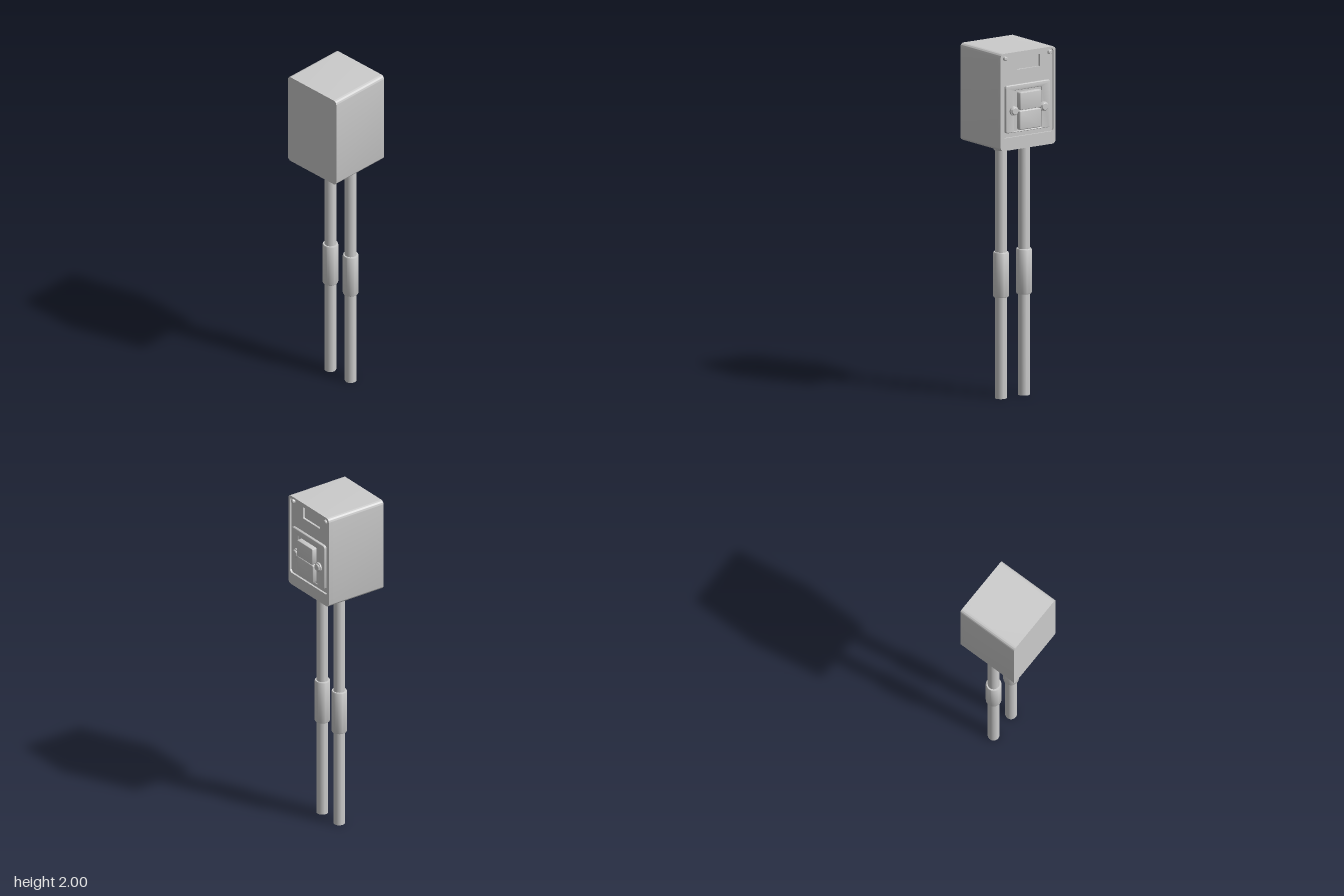
import * as THREE from 'three';
import { toCreasedNormals } from 'three/addons/utils/BufferGeometryUtils.js';

const material = new THREE.MeshStandardMaterial({ color: 0xcccccc });

function addMesh(parent, name, geometry) {
  const mesh = new THREE.Mesh(geometry, material);
  mesh.name = name;
  parent.add(mesh);
  return mesh;
}

// Rounded rectangle outline between two corners
function roundedRect(x0, y0, x1, y1, r, Type = THREE.Shape) {
  const s = new Type();
  s.moveTo(x0 + r, y0);
  s.lineTo(x1 - r, y0);
  s.absarc(x1 - r, y0 + r, r, -Math.PI / 2, 0);
  s.lineTo(x1, y1 - r);
  s.absarc(x1 - r, y1 - r, r, 0, Math.PI / 2);
  s.lineTo(x0 + r, y1);
  s.absarc(x0 + r, y1 - r, r, Math.PI / 2, Math.PI);
  s.lineTo(x0, y0 + r);
  s.absarc(x0 + r, y0 + r, r, Math.PI, Math.PI * 1.5);
  return s;
}

// Slab from depth d0 to d1, with optional holes and edge bevel
function slab(rect, d0, d1, { holes = [], bevel = 0 } = {}) {
  const [x0, y0, x1, y1, r] = rect;
  const shape = roundedRect(x0, y0, x1, y1, r);
  for (const h of holes) shape.holes.push(roundedRect(...h, THREE.Path));
  const geometry = new THREE.ExtrudeGeometry(shape, {
    depth: d1 - d0 - 2 * bevel, curveSegments: 8,
    bevelEnabled: bevel > 0, bevelSize: bevel, bevelThickness: bevel,
    bevelOffset: -bevel, bevelSegments: 3,
  });
  geometry.translate(0, 0, d0 + bevel);
  return toCreasedNormals(geometry, 0.6);
}

// Turned part from [radius, height] pairs
function turned(points, segments = 32) {
  const profile = points.map(([r, y]) => new THREE.Vector2(r, y));
  return toCreasedNormals(new THREE.LatheGeometry(profile, segments), 0.6);
}

export function createModel() {
  const model = new THREE.Group();

  // Housing faces +x: local x runs across the face, local z is depth
  const housing = new THREE.Group();
  housing.name = 'housing';
  housing.rotation.y = Math.PI / 2;
  model.add(housing);

  const outline = [-0.19, 1.445, 0.19, 2, 0.022];
  const recess = [-0.177, 1.517, 0.177, 1.989, 0.02];
  const windowRect = [-0.07, 1.895, 0.09, 1.965, 0.002];
  addMesh(housing, 'body', slab(outline, -0.205, 0.148));
  addMesh(housing, 'panel', slab(outline, 0.148, 0.161, { holes: [windowRect] }));
  addMesh(housing, 'rim', slab(outline, 0.161, 0.173, { holes: [recess] }));

  // Switch plate with a shallow well around the rockers
  const well = [-0.098, 1.55, 0.09, 1.782, 0.006];
  addMesh(housing, 'switchPlate',
    slab([-0.156, 1.543, 0.152, 1.814, 0.014], 0.158, 0.177, { holes: [well], bevel: 0.004 }));
  addMesh(housing, 'wellFloor', slab(well, 0.158, 0.171));

  // Two rocker switches
  [[1.671, 1.771, 0.202], [1.557, 1.666, 0.197]].forEach(([y0, y1, front], i) => {
    addMesh(housing, i ? 'lowerRocker' : 'upperRocker',
      slab([-0.075, y0, 0.073, y1, 0.008], 0.165, front, { bevel: 0.005 }));
  });

  for (const side of [-1, 1]) {
    // Knobs beside the rockers
    const knob = addMesh(housing, 'knob', turned([
      [0.027, 0.16], [0.027, 0.187], [0.023, 0.188], [0.022, 0.192], [0.018, 0.196], [0, 0.196],
    ]));
    knob.rotation.x = Math.PI / 2;
    knob.position.set(side * 0.104, 1.668, 0);

    // Corner screws
    const screw = addMesh(housing, 'screw', turned([
      [0.012, 0.155], [0.012, 0.174], [0.009, 0.177], [0, 0.178],
    ], 20));
    screw.rotation.x = Math.PI / 2;
    screw.position.set(side * 0.153, 1.969, 0);
  }

  // Two conduits with couplings and collars under the housing
  for (const z of [0.077, -0.082]) {
    const conduit = new THREE.Group();
    conduit.name = 'conduit';
    conduit.position.set(0.022, 0, z);
    model.add(conduit);
    addMesh(conduit, 'pipe', turned([[0, 0], [0.033, 0], [0.033, 1.45], [0, 1.45]]));
    addMesh(conduit, 'coupling', turned([
      [0.033, 0.578], [0.041, 0.578], [0.044, 0.584],
      [0.044, 0.829], [0.041, 0.835], [0.033, 0.835],
    ]));
    addMesh(conduit, 'collar', turned([
      [0.033, 1.416], [0.038, 1.416], [0.044, 1.424], [0.045, 1.448], [0.033, 1.448],
    ]));
  }

  return model;
}
